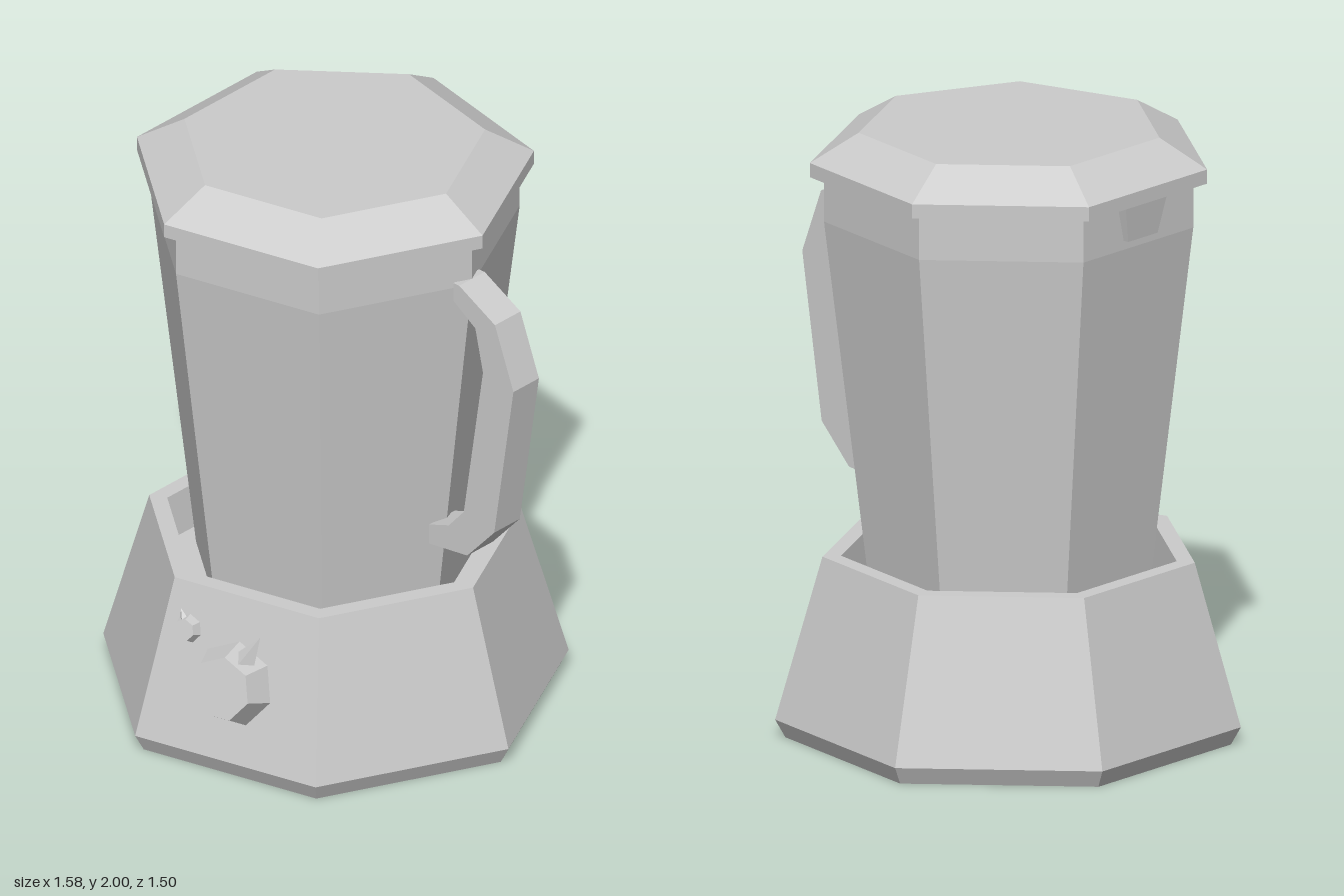
import * as THREE from 'three';

const SIDES = 7;
const STEP = (Math.PI * 2) / SIDES;
const mat = new THREE.MeshStandardMaterial({ color: 0xcccccc, flatShading: true });

function add(parent, name, geometry) {
  const mesh = new THREE.Mesh(geometry, mat);
  mesh.name = name;
  parent.add(mesh);
  return mesh;
}

// Seven-sided solid from [radius, height] pairs, one corner pointing to the back
function heptagon(profile) {
  const points = profile.map(([r, y]) => new THREE.Vector2(r, y));
  return new THREE.LatheGeometry(points, SIDES, Math.PI);
}

// Knob with a small pointed marker, lying on the sloped front of the base
function makeKnob(name, x, y, size, side) {
  const slope = 0.251;
  const knob = new THREE.Group();
  knob.name = name;
  const dial = new THREE.CylinderGeometry(0.105, 0.148, 0.11, SIDES, 1, false, Math.PI);
  dial.rotateX(Math.PI / 2).translate(0, 0, 0.035);
  add(knob, name + 'Dial', dial);
  const marker = new THREE.ConeGeometry(0.042, 0.11, 4);
  marker.translate(0, 0.15, 0.035).rotateZ((-side * STEP) / 2);
  add(knob, name + 'Marker', marker);
  knob.scale.setScalar(size);
  knob.rotation.x = -slope;
  knob.position.set(x, y, 0.7 - (y - 0.06) * Math.tan(slope));
  return knob;
}

export function createModel() {
  const model = new THREE.Group();
  model.name = 'blender';

  // Everything seven-sided shares one axis
  const body = new THREE.Group();
  body.name = 'body';
  body.position.set(-0.045, 0, 0.013);
  model.add(body);

  // Base with a recess that holds the jug
  add(body, 'base', heptagon([
    [0, 0], [0.73, 0], [0.763, 0.06], [0.61, 0.595], [0.55, 0.595], [0.53, 0.45], [0, 0.45],
  ]));
  add(body, 'jug', heptagon([[0, 0.45], [0.454, 0.45], [0.605, 1.71], [0.605, 1.88], [0, 1.88]]));
  add(body, 'lid', heptagon([[0, 1.86], [0.651, 1.86], [0.651, 1.907], [0.493, 2], [0, 2]]));

  // Spout under the lid, narrower towards its lower end
  const spout = new THREE.BoxGeometry(0.2, 0.13, 0.08);
  const p = spout.attributes.position;
  for (let i = 0; i < p.count; i++) {
    if (p.getY(i) < 0) {
      p.setX(i, p.getX(i) * 0.7);
      if (p.getZ(i) > 0) p.setZ(i, 0.025);
    }
  }
  spout.translate(0, 1.805, 0.54);
  add(body, 'spout', spout).rotation.y = Math.PI + 1.5 * STEP;

  // Handle on the left corner of the jug
  const outline = [
    [0.58, 1.73], [0.605, 1.73], [0.76, 1.645], [0.84, 1.43], [0.757, 0.88], [0.64, 0.75], [0.475, 0.73],
    [0.475, 0.80], [0.56, 0.83], [0.625, 0.905], [0.708, 1.45], [0.675, 1.60], [0.58, 1.665],
  ].map(([r, y]) => new THREE.Vector2(r, y));
  const handle = new THREE.ExtrudeGeometry(new THREE.Shape(outline), { depth: 0.12, bevelEnabled: false });
  handle.translate(0, 0, -0.06);
  add(body, 'handle', handle).rotation.y = Math.PI / 2 - 2 * STEP;

  // Controls
  model.add(makeKnob('largeKnob', -0.05, 0.315, 1, 1));
  model.add(makeKnob('smallKnob', -0.237, 0.447, 0.34, -1));
  return model;
}
